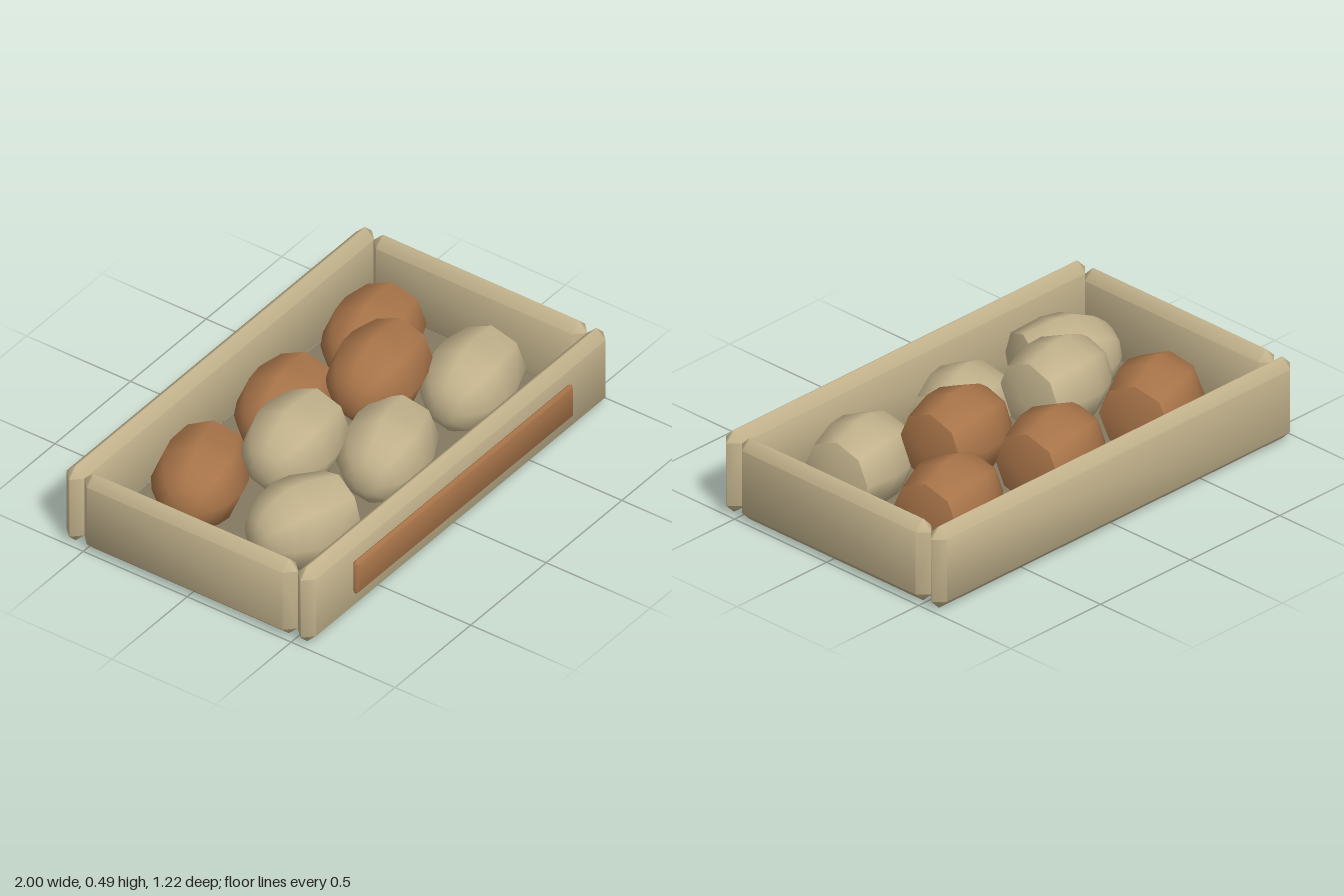
import * as THREE from 'three';
import { toCreasedNormals } from 'three/addons/utils/BufferGeometryUtils.js';
import { ConvexGeometry } from 'three/addons/geometries/ConvexGeometry.js';

const material = (name, color) => {
  const m = new THREE.MeshStandardMaterial({ color });
  m.name = name;
  return m;
};

// Box with a single soft chamfer on every edge
function chamferBox(w, h, d, c) {
  const points = [];
  for (const sx of [-1, 1]) for (const sy of [-1, 1]) for (const sz of [-1, 1]) {
    for (let axis = 0; axis < 3; axis++) {
      const inset = [c, c, c];
      inset[axis] = 0;
      points.push(new THREE.Vector3(
        sx * (w / 2 - inset[0]), sy * (h / 2 - inset[1]), sz * (d / 2 - inset[2])));
    }
  }
  return toCreasedNormals(new ConvexGeometry(points), 0.9);
}

// Eight-sided loaf lying along x, rounded at one end and blunt at the other
function loafGeometry() {
  const profile = [
    [0, -0.226], [0.05, -0.222], [0.085, -0.207], [0.12, -0.178], [0.157, -0.128],
    [0.186, -0.045], [0.186, 0.04], [0.152, 0.182], [0, 0.226],
  ].map(([r, y]) => new THREE.Vector2(r, y));
  const lathe = new THREE.LatheGeometry(profile, 8);
  lathe.rotateZ(-Math.PI / 2);
  return toCreasedNormals(lathe, 0.9);
}

export function createModel() {
  const group = new THREE.Group();
  group.name = 'breadTray';
  const tan = material('pale tan', 0xc2b28c);
  const brown = material('crust brown', 0xa87449);
  const dark = material('shaded tan', 0x857960);

  const add = (name, geometry, mat, x, y, z, turn = 0) => {
    const mesh = new THREE.Mesh(geometry, mat);
    mesh.name = name;
    mesh.position.set(x, y, z);
    mesh.rotation.y = turn;
    group.add(mesh);
  };

  // Tray
  add('floor', new THREE.BoxGeometry(1.83, 0.036, 1.025), dark, 0, 0.02, -0.012);
  const longWall = chamferBox(2, 0.36, 0.087, 0.042);
  add('frontWall', longWall, tan, 0, 0.18, 0.545);
  add('backWall', longWall, tan, 0, 0.18, -0.568);
  const endWall = chamferBox(0.087, 0.36, 1.026, 0.042);
  add('leftWall', endWall, tan, 0.9565, 0.18, -0.012);
  add('rightWall', endWall, tan, -0.9565, 0.18, -0.012);

  // Blank plate on the front
  add('frontPlate', chamferBox(1.44, 0.16, 0.026, 0.0125), brown, 0, 0.183, 0.6);

  // Loaves: two rows on the floor and two more resting on top
  const loaf = loafGeometry();
  const loaves = [
    [brown, -0.565, 0.2, -0.255, 0.33], [brown, -0.003, 0.2, -0.256, 0.16], [brown, 0.56, 0.2, -0.25, 0.17],
    [tan, -0.565, 0.2, 0.23, -0.33], [tan, -0.003, 0.2, 0.23, 0.25], [tan, 0.56, 0.2, 0.226, 0.14],
    [tan, -0.283, 0.304, -0.014, 0.07], [brown, 0.278, 0.304, -0.017, 0.1],
  ];
  loaves.forEach(([mat, x, y, z, turn], i) => add(`loaf${i + 1}`, loaf, mat, x, y, z, turn));

  return group;
}
